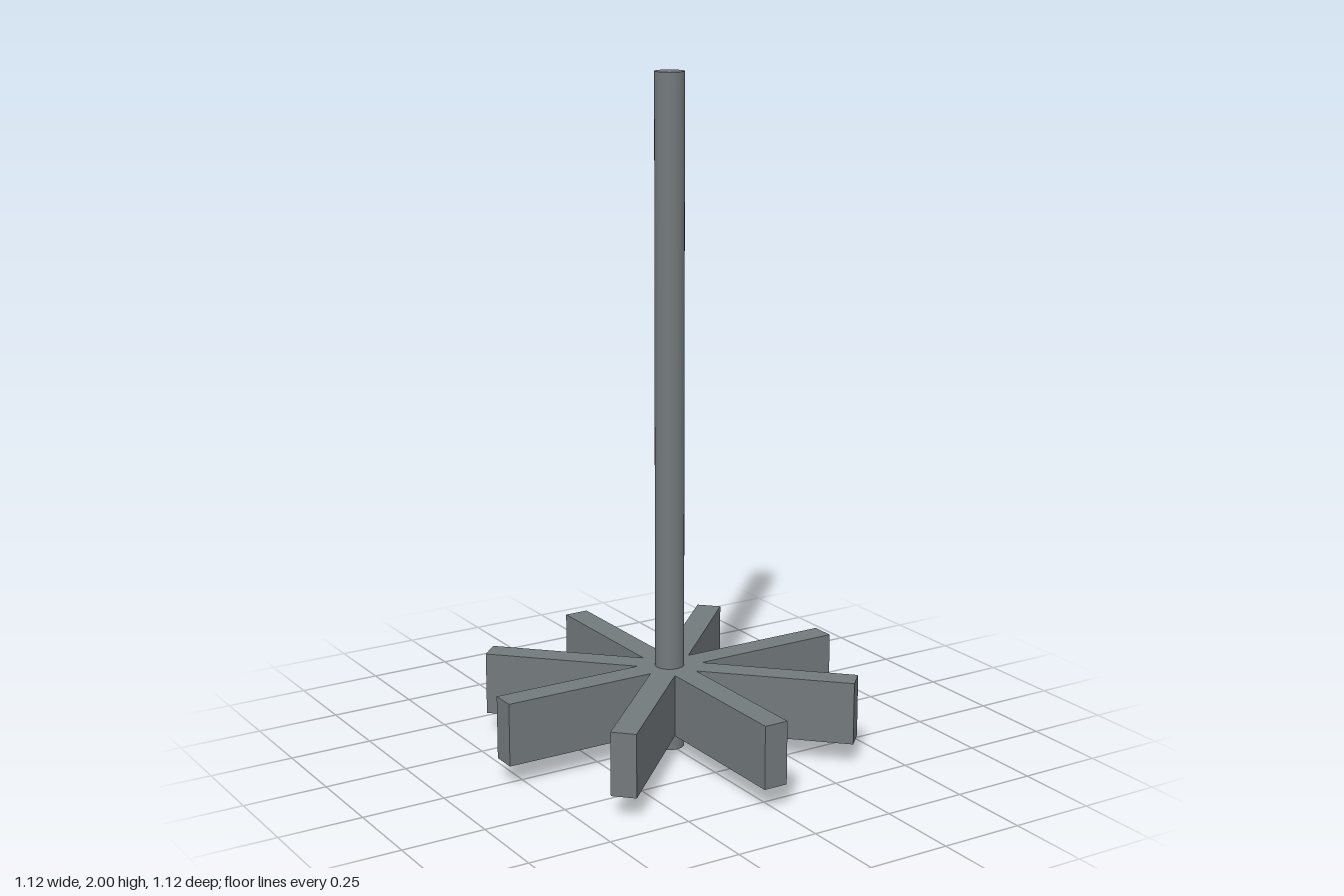
import * as THREE from 'three';

export function createModel() {
  const model = new THREE.Group();
  model.name = 'paddleStirrer';
  const steel = new THREE.MeshStandardMaterial({ color: 0x737a7c });
  steel.name = 'greySteel';

  // Tall round shaft
  const shaft = new THREE.Mesh(new THREE.CylinderGeometry(0.043, 0.043, 2, 32), steel);
  shaft.name = 'shaft';
  shaft.position.y = 1;
  model.add(shaft);

  // Eight radial blades, extruded from one star outline
  const count = 8, reach = 0.558, half = 0.037;
  const notch = half / Math.tan(Math.PI / count); // where neighbouring blades meet
  const outline = [];
  for (let i = 0; i < count; i++) {
    const angle = (i / count) * Math.PI * 2;
    for (const [along, across] of [[reach, -half], [reach, half], [notch, half]]) {
      outline.push(new THREE.Vector2(along, across).rotateAround(new THREE.Vector2(), angle));
    }
  }
  const bladeGeometry = new THREE.ExtrudeGeometry(new THREE.Shape(outline), { depth: 0.188, bevelEnabled: false });
  bladeGeometry.rotateX(-Math.PI / 2);
  const blades = new THREE.Mesh(bladeGeometry, steel);
  blades.name = 'blades';
  blades.position.y = 0.066;
  model.add(blades);

  return model;
}
